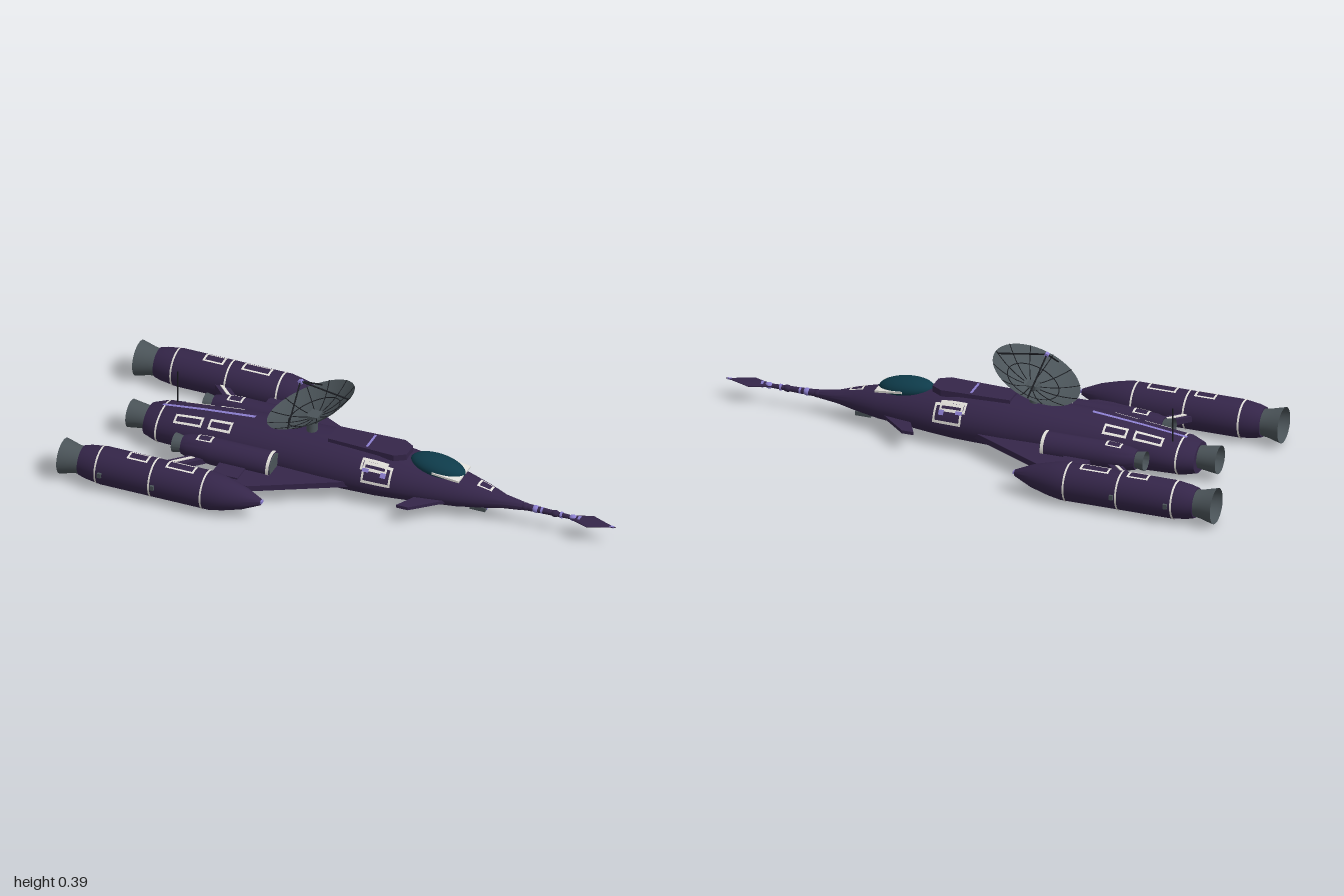
import * as THREE from 'three';
import { toCreasedNormals } from 'three/addons/utils/BufferGeometryUtils.js';

const mat = (name, color, side = THREE.FrontSide) => {
  const m = new THREE.MeshStandardMaterial({ color, side });
  m.name = name;
  return m;
};

export function createModel() {
  const purple = mat('hull purple', 0x35264a);
  const grey = mat('metal grey', 0x4b5459, THREE.DoubleSide);
  const dark = mat('dark trim', 0x1b1d22);
  const white = mat('marking white', 0xe4e2dc);
  const lilac = mat('accent lilac', 0x8c7fd0);
  const teal = mat('canopy teal', 0x0e3b4a);
  const ship = new THREE.Group();
  ship.name = 'spaceship';
  const { PI } = Math;

  const add = (name, geo, material, x = 0, y = 0, z = 0, parent = ship) => {
    const m = new THREE.Mesh(geo, material);
    m.name = name;
    m.position.set(x, y, z);
    parent.add(m);
    return m;
  };
  const box = (name, material, x, y, z, w, h, d) =>
    add(name, new THREE.BoxGeometry(w, h, d), material, x, y, z);
  const rod = (name, a, b, r, material, parent = ship) =>
    add(name, new THREE.TubeGeometry(new THREE.LineCurve3(a, b), 1, r, 6), material, 0, 0, 0, parent);

  // Body with elliptical sections; stations are [x, halfWidth, top, bottom, widestY]
  const body = (st, cz = 0) => {
    const point = (x, t, lift = 0) => {
      let i = 0;
      while (i < st.length - 2 && x > st[i + 1][0]) i++;
      const k = (x - st[i][0]) / (st[i + 1][0] - st[i][0]);
      const [w, top, bot, mid] = [1, 2, 3, 4].map(c => THREE.MathUtils.lerp(st[i][c], st[i + 1][c], k));
      const s = Math.sin(t);
      return [x, mid + s * ((s > 0 ? top - mid : mid - bot) + lift), cz + Math.cos(t) * (w + lift)];
    };
    return { st, cz, point, xs: st.map(s => s[0]) };
  };
  const round = (list, y, z) => body(list.map(([x, r]) => [x, r, y + r, y - r, y]), z);

  // Sheet laid over a body between two angles
  const sheet = (name, b, xs, t0, t1, n, material, lift = 0, caps = false) => {
    const pos = [], idx = [];
    const rows = xs.map(x => Array.from({ length: n + 1 }, (_, j) => b.point(x, t0 + (t1 - t0) * j / n, lift)));
    if (caps) {
      const flat = (row, s) => row.map(() => [row[0][0], s[4], b.cz]);
      rows.unshift(flat(rows[0], b.st[0]));
      rows.push(flat(rows[rows.length - 1], b.st[b.st.length - 1]));
    }
    rows.forEach(r => r.forEach(p => pos.push(...p)));
    for (let i = 0; i < rows.length - 1; i++) {
      for (let j = 0; j < n; j++) {
        const a = i * (n + 1) + j, c = a + n + 1;
        idx.push(a, c, c + 1, a, c + 1, a + 1);
      }
    }
    const g = new THREE.BufferGeometry();
    g.setAttribute('position', new THREE.Float32BufferAttribute(pos, 3));
    g.setIndex(idx);
    return add(name, toCreasedNormals(g, 0.6), material);
  };
  const solid = (name, b, material, caps = true) =>
    sheet(name, b, b.xs, -PI / 2, 1.5 * PI, 32, material, 0, caps);
  const ring = (name, b, x, material = white, w = 0.007) =>
    sheet(name, b, [x - w / 2, x + w / 2], -PI / 2, 1.5 * PI, 32, material, 0.0025);
  // Rectangular outline wrapped on a body
  const frame = (name, b, x0, x1, t0, t1, line = 0.008, dt = 0.1) => {
    const strip = (xa, xb, ta, tb) =>
      sheet(name, b, [xa, (xa + xb) / 2, xb], ta, tb, 6, white, 0.0025);
    strip(x0, x0 + line, t0, t1);
    strip(x1 - line, x1, t0, t1);
    strip(x0, x1, t0, t0 + dt);
    strip(x0, x1, t1 - dt, t1);
  };
  // Flat horizontal plate from [x, z] corners
  const plate = (name, pts, y, h, material) => {
    const shape = new THREE.Shape(pts.map(([x, z]) => new THREE.Vector2(x, -z)));
    const g = new THREE.ExtrudeGeometry(shape, { depth: h, bevelEnabled: false });
    g.rotateX(-PI / 2);
    return add(name, g, material, 0, y - h / 2, 0);
  };

  // Main hull
  const hull = body([
    [-0.81, 0.07, 0.13, 0.02, 0.075], [-0.76, 0.095, 0.145, 0.01, 0.08],
    [-0.6, 0.1, 0.165, 0.005, 0.085], [-0.4, 0.115, 0.185, 0.002, 0.088],
    [-0.1, 0.125, 0.193, 0.003, 0.09], [0.1, 0.123, 0.193, 0.01, 0.09],
    [0.2, 0.112, 0.18, 0.017, 0.088], [0.4, 0.078, 0.15, 0.03, 0.083],
    [0.5, 0.05, 0.125, 0.042, 0.08], [0.57, 0.027, 0.102, 0.053, 0.077], [0.64, 0.016, 0.092, 0.06, 0.076],
  ]);
  solid('hull', hull, purple);
  ring('hullRing', hull, -0.75);
  sheet('spineStripe', hull, [-0.76, -0.6, -0.4], PI / 2 - 0.06, PI / 2 + 0.06, 2, lilac, 0.003);
  plate('dorsalSpine', [[-0.1, -0.045], [0.16, -0.055], [0.2, -0.03], [0.2, 0.03], [0.16, 0.055], [-0.1, 0.045]], 0.188, 0.024, purple);
  box('spineMark', lilac, 0.05, 0.2, 0, 0.008, 0.004, 0.08);
  solid('hullNozzle', round([[-0.885, 0.052], [-0.85, 0.047], [-0.81, 0.042]], 0.078, 0), grey, false);
  add('hullNozzleCore', new THREE.CylinderGeometry(0.041, 0.041, 0.008, 24).rotateZ(PI / 2), dark, -0.816, 0.078, 0);

  // Canopy and its sill
  const canopy = add('canopy', new THREE.SphereGeometry(1, 32, 20), teal, 0.31, 0.162, 0);
  canopy.scale.set(0.105, 0.038, 0.055);
  canopy.rotation.z = -0.12;
  const sill = plate('canopySill', [[0.31, -0.058], [0.415, -0.055], [0.415, 0.055], [0.31, 0.058]], 0, 0.008, white);
  sill.rotation.z = -0.12;
  sill.position.y = 0.196;
  frame('noseHatch', hull, 0.47, 0.525, PI / 2 - 0.35, PI / 2 + 0.35);
  box('chinSensor', grey, 0.47, 0.032, 0, 0.06, 0.016, 0.04);
  box('chinLight', lilac, 0.501, 0.032, 0, 0.004, 0.006, 0.012);

  // Nose lance with beads and spearhead
  add('lance', new THREE.CylinderGeometry(0.006, 0.015, 0.28, 16).rotateZ(-PI / 2), purple, 0.74, 0.076, 0);
  [0.65, 0.69, 0.765, 0.835].forEach((x, i) => {
    const bead = add('lanceBead', new THREE.SphereGeometry(0.015 - i * 0.001, 16, 12), i % 2 ? lilac : purple, x, 0.076, 0);
    bead.scale.x = 1.3;
    add('lanceCollar', new THREE.CylinderGeometry(0.012, 0.012, 0.008, 16).rotateZ(PI / 2), lilac, x + 0.025, 0.076, 0);
  });
  solid('spearhead', body([[0.82, 0.008, 0.081, 0.071, 0.076], [0.9, 0.038, 0.083, 0.069, 0.076],
    [0.975, 0.008, 0.079, 0.073, 0.076], [1, 0.002, 0.077, 0.075, 0.076]]), purple);
  box('spearTip', lilac, 0.98, 0.076, 0, 0.025, 0.005, 0.008);

  for (const s of [1, -1]) {
    const mid = s > 0 ? 0 : PI; // angle of the outer side
    const at = (a, b) => [mid + s * a, mid + s * b].sort((p, q) => p - q);

    // Hull panels and side doors
    frame('hullPanel', hull, -0.69, -0.58, ...at(0.72, 1.15));
    frame('hullPanel', hull, -0.555, -0.465, ...at(0.72, 1.15));
    frame('frontPanel', hull, 0.05, 0.15, ...at(0.55, 0.95));
    frame('doorFrame', hull, 0.06, 0.17, ...at(0.12, 0.85));
    sheet('doorMark', hull, [0.06, 0.085], ...at(0.5, 0.62), 3, lilac, 0.004);
    sheet('doorMark', hull, [0.13, 0.15], ...at(0.42, 0.6), 3, lilac, 0.004);

    // Outer engine pod
    const pod = round([[-0.925, 0.055], [-0.9, 0.062], [-0.84, 0.07], [-0.42, 0.07], [-0.37, 0.061],
      [-0.3, 0.042], [-0.25, 0.02], [-0.232, 0.012]], 0.075, s * 0.345);
    solid('enginePod', pod, purple);
    [-0.85, -0.64, -0.44].forEach(x => ring('podRing', pod, x));
    frame('podPanel', pod, -0.745, -0.665, PI / 2 - 0.32, PI / 2 + 0.32);
    frame('podPanel', pod, -0.595, -0.485, PI / 2 - 0.32, PI / 2 + 0.32);
    box('podTip', lilac, -0.23, 0.077, s * 0.345, 0.008, 0.01, 0.016);
    [-0.83, -0.625].forEach(x => box('podKnob', grey, x, 0.078, s * 0.417, 0.014, 0.018, 0.012));
    solid('podNozzle', round([[-1, 0.066], [-0.98, 0.061], [-0.95, 0.053], [-0.92, 0.049]], 0.075, s * 0.345), grey, false);
    add('podNozzleCore', new THREE.CylinderGeometry(0.048, 0.048, 0.008, 24).rotateZ(PI / 2), dark, -0.927, 0.075, s * 0.345);

    // Inner engine with intake
    const inner = round([[-0.62, 0.036], [-0.59, 0.044], [-0.5, 0.05], [-0.27, 0.05]], 0.098, s * 0.14);
    solid('innerEngine', inner, purple);
    ring('intakeRing', inner, -0.275, white, 0.012);
    add('intakeFace', new THREE.CylinderGeometry(0.046, 0.046, 0.006, 24).rotateZ(PI / 2), grey, -0.268, 0.098, s * 0.14);
    solid('innerNozzle', round([[-0.655, 0.036], [-0.61, 0.028]], 0.098, s * 0.14), grey, false);
    frame('innerPanel', inner, -0.565, -0.505, PI / 2 - 0.4, PI / 2 + 0.4);

    // Swept wing, rear strut and canard
    plate('wing', [[0.06, s * 0.09], [-0.31, s * 0.285], [-0.46, s * 0.285], [-0.46, s * 0.09]], 0.075, 0.022, purple);
    box('wingBox', purple, -0.41, 0.082, s * 0.225, 0.1, 0.02, 0.07);
    plate('strut', [[-0.56, s * 0.16], [-0.69, s * 0.29], [-0.63, s * 0.29], [-0.5, s * 0.16]], 0.075, 0.022, purple);
    plate('strutStripe', [[-0.57, s * 0.19], [-0.66, s * 0.28], [-0.645, s * 0.28], [-0.555, s * 0.19]], 0.088, 0.004, white);
    plate('canard', [[0.22, s * 0.172], [0.265, s * 0.172], [0.39, s * 0.06], [0.28, s * 0.06]], 0.07, 0.012, purple);
  }

  // Antenna mast
  rod('antenna', new THREE.Vector3(-0.72, 0.13, -0.04), new THREE.Vector3(-0.72, 0.275, -0.04), 0.0025, dark);

  // Dish pedestal
  add('pedestal', new THREE.CylinderGeometry(0.019, 0.021, 0.07, 20), grey, -0.18, 0.22, 0);
  box('pedestalHead', grey, -0.17, 0.248, 0, 0.04, 0.025, 0.05);

  // Tilted dish with ribs and feed tripod
  const dish = new THREE.Group();
  dish.name = 'dish';
  dish.position.set(-0.165, 0.25, 0);
  dish.rotation.z = 0.42;
  ship.add(dish);
  const depth = r => 0.05 * (r / 0.17) ** 2;
  const radii = [0, 0.03, 0.06, 0.09, 0.12, 0.15, 0.17];
  add('dishBowl', new THREE.LatheGeometry(radii.map(r => new THREE.Vector2(r, depth(r))), 48), grey, 0, 0, 0, dish);
  for (let i = 0; i < 12; i++) {
    const a = i * PI / 6;
    const path = new THREE.CatmullRomCurve3(radii.slice(1).map(r =>
      new THREE.Vector3(r * Math.cos(a), depth(r) + 0.001, r * Math.sin(a))));
    add('dishRib', new THREE.TubeGeometry(path, 8, 0.0018, 5), dark, 0, 0, 0, dish);
  }
  add('dishRing', new THREE.TorusGeometry(0.1, 0.0018, 5, 40).rotateX(PI / 2), dark, 0, depth(0.1) + 0.001, 0, dish);
  const apex = new THREE.Vector3(0, 0.148, 0);
  [0, 1.75, -1.75].forEach(a =>
    rod('feedRod', new THREE.Vector3(0.16 * Math.cos(a), depth(0.16), 0.16 * Math.sin(a)), apex, 0.003, dark, dish));
  add('feedHorn', new THREE.BoxGeometry(0.014, 0.014, 0.016), lilac, 0, 0.146, 0, dish);
  return ship;
}
